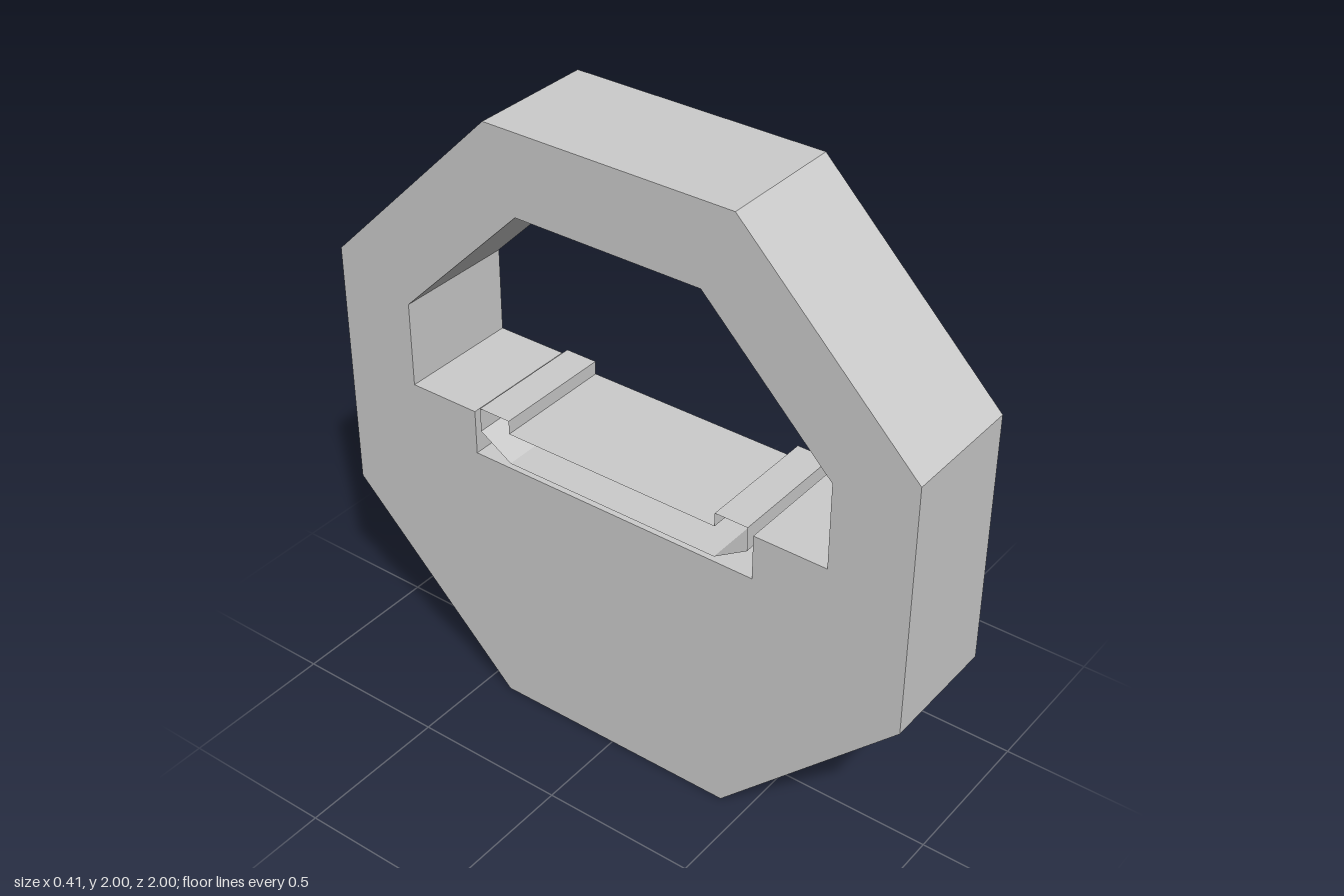
import * as THREE from 'three';

// Mirror one half of a [z, y] outline to get the closed symmetric loop
const mirrored = (half) => [...half, ...half.map(([z, y]) => [-z, y]).reverse()];

// Octagonal frame with a stepped window, cut through along x
function frameGeometry(x0, x1) {
  const toPoints = (loop) => loop.map(([z, y]) => new THREE.Vector2(z, y));
  const shape = new THREE.Shape(toPoints(mirrored([[0.414, 0], [1, 0.586], [1, 1.414], [0.414, 2]])));
  shape.holes.push(new THREE.Path(toPoints(mirrored(
    [[0.5, 0.884], [0.5, 1.032], [0.74, 1.032], [0.74, 1.312], [0.312, 1.742]]))));
  return new THREE.ExtrudeGeometry(shape, { depth: x1 - x0, bevelEnabled: false })
    .rotateY(Math.PI / 2)
    .translate(x0, 0, 0);
}

// Hollow sleeve with open ends: one flat quad for each side of the profile
function sleeveGeometry(loop, x0, x1) {
  const positions = [];
  loop.forEach(([z, y], i) => {
    const [z2, y2] = loop[(i + 1) % loop.length];
    positions.push(
      x0, y, z, x1, y2, z2, x1, y, z,
      x0, y, z, x0, y2, z2, x1, y2, z2);
  });
  const geometry = new THREE.BufferGeometry();
  geometry.setAttribute('position', new THREE.Float32BufferAttribute(positions, 3));
  geometry.computeVertexNormals();
  return geometry;
}

export function createModel() {
  const group = new THREE.Group();

  const frame = new THREE.Mesh(
    frameGeometry(-0.204, 0.203),
    new THREE.MeshStandardMaterial({ color: 0xcccccc, flatShading: true }));
  frame.name = 'octagonFrame';
  group.add(frame);

  // Tray with raised lips and chamfered lower corners, resting in the window step
  const trayProfile = mirrored([[0.37, 0.9], [0.48, 0.97], [0.48, 1.05], [0.37, 1.05], [0.37, 1.005]]);
  const tray = new THREE.Mesh(
    sleeveGeometry(trayProfile, -0.203, 0.204),
    new THREE.MeshStandardMaterial({ color: 0xcccccc, flatShading: true, side: THREE.DoubleSide }));
  tray.name = 'tray';
  group.add(tray);

  return group;
}
